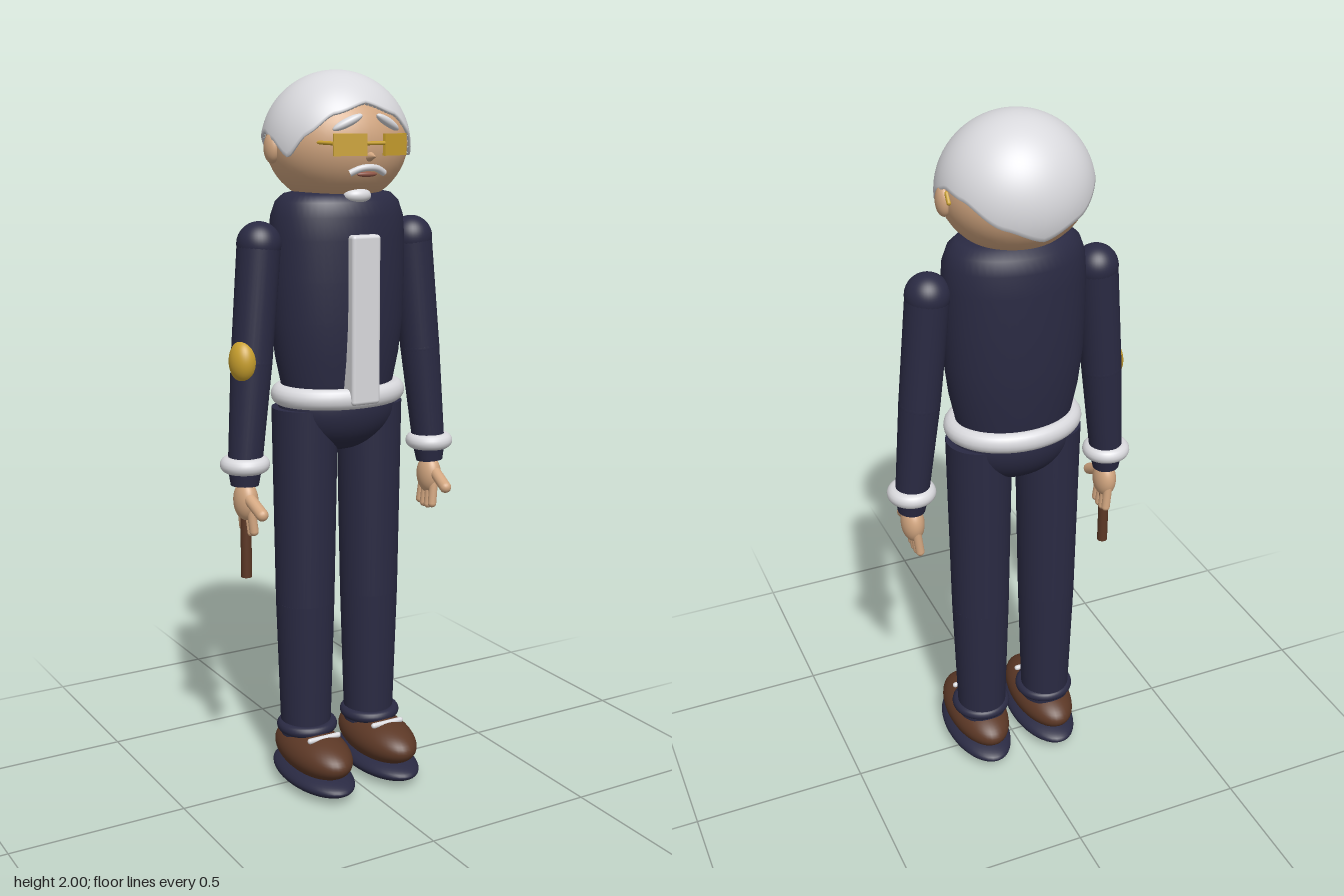
import * as THREE from 'three';
import { mergeVertices } from 'three/addons/utils/BufferGeometryUtils.js';
import { RoundedBoxGeometry } from 'three/addons/geometries/RoundedBoxGeometry.js';

const mat = (name, color) => {
  const m = new THREE.MeshStandardMaterial({ color });
  m.name = name;
  return m;
};
const navy = mat('navy cloth', 0x2a2a43);
const skin = mat('skin', 0xd2a680);
const white = mat('white hair and trim', 0xd9d9dd);
const brown = mat('brown leather', 0x5c3826);
const gold = mat('gold', 0xc9a02e);
const lip = mat('lips', 0x8f5546);

const V = (x, y, z) => new THREE.Vector3(x, y, z);

function add(parent, name, geo, material, x = 0, y = 0, z = 0) {
  const m = new THREE.Mesh(geo, material);
  m.name = name;
  m.position.set(x, y, z);
  parent.add(m);
  return m;
}

function ball(parent, name, material, [x, y, z], [rx, ry, rz]) {
  const m = add(parent, name, new THREE.SphereGeometry(1, 40, 28), material, x, y, z);
  m.scale.set(rx, ry, rz);
  return m;
}

// tapered rod from a to b
function rod(parent, name, material, a, b, ra, rb = ra, sides = 28) {
  const d = b.clone().sub(a);
  const m = add(parent, name, new THREE.CylinderGeometry(rb, ra, d.length(), sides), material);
  m.position.copy(a).addScaledVector(d, 0.5);
  m.quaternion.setFromUnitVectors(V(0, 1, 0), d.normalize());
  return m;
}

// round-ended rod from a to b
function capsule(parent, name, material, a, b, r) {
  const d = b.clone().sub(a);
  const m = add(parent, name, new THREE.CapsuleGeometry(r, d.length(), 8, 16), material);
  m.position.copy(a).addScaledVector(d, 0.5);
  m.quaternion.setFromUnitVectors(V(0, 1, 0), d.normalize());
  return m;
}

// horizontal ring
function ring(parent, name, material, [x, y, z], r, tube, depth = 1) {
  const geo = new THREE.TorusGeometry(r, tube, 16, 48).rotateX(Math.PI / 2).scale(1, 1, depth);
  return add(parent, name, geo, material, x, y, z);
}

// height of the hairline by angle from the front, in degrees
const HAIRLINE = [[0, 1.915], [30, 1.885], [50, 1.835], [67, 1.775], [84, 1.82],
  [100, 1.84], [120, 1.825], [150, 1.765], [180, 1.725]];
function hairline(deg) {
  let i = 0;
  while (i < HAIRLINE.length - 2 && deg > HAIRLINE[i + 1][0]) i++;
  const [a, ya] = HAIRLINE[i], [b, yb] = HAIRLINE[i + 1];
  return THREE.MathUtils.lerp(ya, yb, THREE.MathUtils.smoothstep(deg, a, b) * 0.5 + 0.5 * (deg - a) / (b - a));
}

// cap of hair: sphere rows stretched down to the hairline, last rows tucked inwards
function hairGeometry() {
  const rows = 32, cy = 1.8, R = [0.205, 0.2, 0.192];
  const geo = new THREE.SphereGeometry(1, 96, rows);
  const p = geo.attributes.position, uv = geo.attributes.uv;
  for (let i = 0; i < p.count; i++) {
    const row = Math.round((1 - uv.getY(i)) * rows);
    const phi = uv.getX(i) * Math.PI * 2;
    const deg = THREE.MathUtils.radToDeg(Math.acos(Math.min(1, Math.max(-1, Math.sin(phi)))));
    const polar = Math.acos((hairline(deg) - cy) / R[1]) * Math.min(1, row / (rows - 2));
    const s = row === rows ? 0.86 : row === rows - 1 ? 0.975 : 1;
    p.setXYZ(i, -Math.cos(phi) * Math.sin(polar) * R[0] * s,
      cy + Math.cos(polar) * R[1] * s, -0.02 + Math.sin(phi) * Math.sin(polar) * R[2] * s);
  }
  // the bottom row of a sphere lacks half its faces, so drop it and keep the tucked rim
  geo.deleteAttribute('uv');
  geo.deleteAttribute('normal');
  const out = mergeVertices(geo, 1e-5);
  out.computeVertexNormals();
  return out;
}

function buildHead() {
  const g = new THREE.Group();
  g.name = 'head';
  ball(g, 'skull', skin, [0, 1.81, -0.015], [0.195, 0.165, 0.178]);
  add(g, 'hair', hairGeometry(), white);
  const nose = add(g, 'nose', new THREE.ConeGeometry(0.018, 0.045, 20), skin, 0, 1.778, 0.167);
  nose.rotation.x = Math.PI / 2;
  // moustache, mouth and beard
  const arch = new THREE.CatmullRomCurve3([V(-0.052, 1.735, 0.142), V(-0.025, 1.747, 0.152),
    V(0, 1.75, 0.156), V(0.025, 1.747, 0.152), V(0.052, 1.735, 0.142)]);
  add(g, 'moustache', new THREE.TubeGeometry(arch, 24, 0.009, 10), white);
  ball(g, 'mouth', lip, [0, 1.732, 0.143], [0.03, 0.007, 0.008]);
  ball(g, 'beard', white, [0, 1.675, 0.092], [0.04, 0.022, 0.03]);
  // spectacles
  rod(g, 'bridge', gold, V(-0.027, 1.812, 0.186), V(0.027, 1.812, 0.186), 0.005, 0.005, 12);
  for (const s of [-1, 1]) {
    ball(g, 'ear', skin, [s * 0.192, 1.798, -0.022], [0.02, 0.04, 0.029]);
    const brow = ball(g, 'eyebrow', white, [s * 0.06, 1.864, 0.146], [0.044, 0.012, 0.014]);
    brow.rotation.set(0, s * 0.25, -s * 0.45);
    const lens = add(g, 'lens', new THREE.BoxGeometry(0.088, 0.056, 0.009), gold, s * 0.067, 1.808, 0.171);
    lens.rotation.y = s * 0.34;
    rod(g, 'temple', gold, V(s * 0.108, 1.812, 0.157), V(s * 0.13, 1.814, 0.11), 0.005, 0.005, 12);
    capsule(g, 'templeTip', gold, V(s * 0.191, 1.825, -0.045), V(s * 0.191, 1.805, -0.058), 0.006);
  }
  return g;
}

function buildTorso() {
  const g = new THREE.Group();
  g.name = 'torso';
  const profile = [[0, 1.1], [0.155, 1.1], [0.167, 1.17], [0.182, 1.24], [0.194, 1.34], [0.197, 1.45],
    [0.197, 1.56], [0.192, 1.62], [0.178, 1.658], [0.155, 1.678], [0.12, 1.685], [0, 1.685]];
  const jacket = new THREE.LatheGeometry(profile.map(([r, y]) => new THREE.Vector2(r, y)), 56);
  add(g, 'jacket', jacket.scale(1, 1, 0.71), navy, 0, 0, -0.013);
  add(g, 'shirtFront', new RoundedBoxGeometry(0.087, 0.455, 0.06, 3, 0.01), white, 0, 1.3475, 0.118);
  ring(g, 'belt', white, [0, 1.135, -0.008], 0.167, 0.029, 0.77);
  ball(g, 'hips', navy, [0, 1.1, -0.011], [0.175, 0.13, 0.126]);
  return g;
}

function buildLeg(s) {
  const g = new THREE.Group();
  g.name = s > 0 ? 'leftLeg' : 'rightLeg';
  const x = s * 0.105, z = -0.013;
  rod(g, 'thigh', navy, V(x, 0.54, z), V(s * 0.103, 1.1, z), 0.083, 0.092, 36);
  rod(g, 'shin', navy, V(x, 0.14, z), V(x, 0.54, z), 0.071, 0.083, 36);
  ring(g, 'trouserHem', navy, [x, 0.167, -0.006], 0.071, 0.016);
  ball(g, 'shoe', brown, [s * 0.107, 0.102, 0.035], [0.086, 0.064, 0.171]);
  ball(g, 'sole', navy, [s * 0.107, 0.035, 0.035], [0.091, 0.035, 0.18]);
  capsule(g, 'lace', white, V(x - 0.045, 0.158, 0.095), V(x + 0.045, 0.158, 0.095), 0.008);
  return g;
}

function buildArm(s) {
  const g = new THREE.Group();
  g.name = s > 0 ? 'leftArm' : 'rightArm';
  const shoulder = V(s * 0.238, 1.55, -0.013), elbow = V(s * 0.268, 1.24, -0.006), wrist = V(s * 0.297, 0.95, 0.003);
  ball(g, 'shoulder', navy, shoulder.toArray(), [0.06, 0.06, 0.06]);
  rod(g, 'upperSleeve', navy, elbow, shoulder, 0.056, 0.059);
  ball(g, 'elbow', navy, elbow.toArray(), [0.056, 0.056, 0.056]);
  rod(g, 'lowerSleeve', navy, wrist, elbow, 0.046, 0.056);
  rod(g, 'sleeveEnd', navy, V(s * 0.299, 0.905, 0.005), wrist, 0.038, 0.046);
  ring(g, 'cuff', white, [s * 0.297, 0.963, 0.004], 0.046, 0.022);
  // hand with four fingers and a thumb held forward
  ball(g, 'palm', skin, [s * 0.297, 0.862, 0.006], [0.032, 0.056, 0.043]);
  for (let i = 0; i < 4; i++) {
    const k = i - 1.5;
    const tip = 0.772 + Math.abs(k) * 0.006;
    capsule(g, 'finger', skin, V(s * 0.296, 0.845, 0.006 + k * 0.019), V(s * 0.289, tip, 0.006 + k * 0.021), 0.0125);
  }
  capsule(g, 'thumb', skin, V(s * 0.3, 0.875, 0.03), V(s * 0.294, 0.842, 0.097), 0.017);
  return g;
}

export function createModel() {
  const model = new THREE.Group();
  model.name = 'figure';
  model.add(buildHead(), buildTorso());
  for (const s of [-1, 1]) model.add(buildLeg(s), buildArm(s));
  // items on the right arm
  ball(model, 'armBadge', gold, [-0.303, 1.245, 0.012], [0.036, 0.057, 0.044]);
  rod(model, 'stick', brown, V(-0.298, 0.645, 0.006), V(-0.298, 0.85, 0.006), 0.015);
  return model;
}
